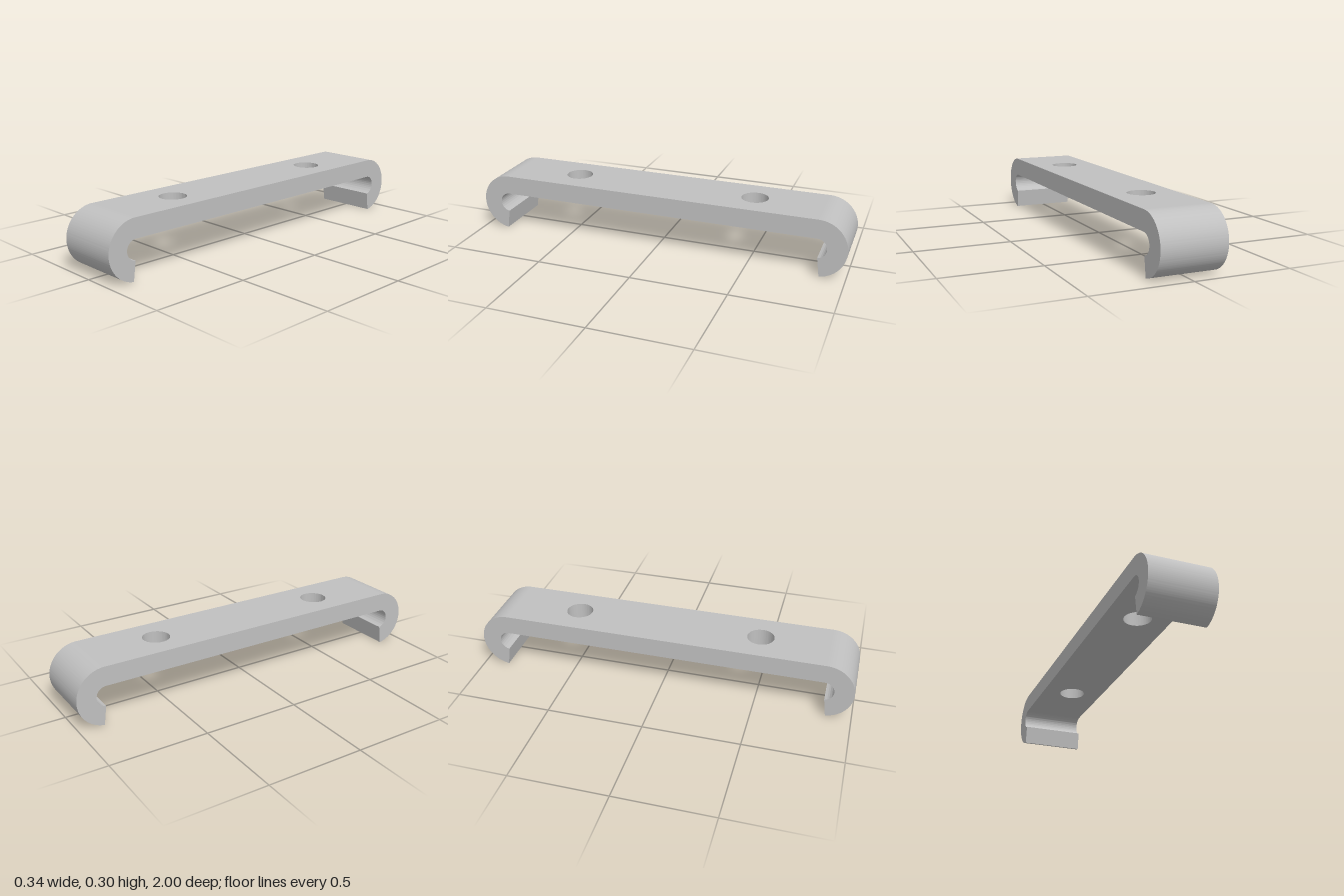
import * as THREE from 'three';
import { toCreasedNormals } from 'three/addons/utils/BufferGeometryUtils.js';

const WIDTH = 0.338;
const OUTER = 0.152; // outer bend radius
const INNER = 0.052; // inner bend radius
const BEND_Y = 0.151; // height of the bend axis
const BEND_Z = 1 - OUTER; // distance of the bend axis from the middle
const TIP = THREE.MathUtils.degToRad(-82);

export function createModel() {
  const group = new THREE.Group();
  group.name = 'mountingClip';
  const metal = new THREE.MeshStandardMaterial({ color: 0xc0c0c0 });
  metal.name = 'light grey metal';

  const add = (name, geometry) => {
    const mesh = new THREE.Mesh(toCreasedNormals(geometry, 0.4), metal);
    mesh.name = name;
    group.add(mesh);
  };

  // Flat bar with two round screw holes
  const bar = new THREE.Shape([
    new THREE.Vector2(-WIDTH / 2, -BEND_Z),
    new THREE.Vector2(WIDTH / 2, -BEND_Z),
    new THREE.Vector2(WIDTH / 2, BEND_Z),
    new THREE.Vector2(-WIDTH / 2, BEND_Z),
  ]);
  for (const z of [-0.493, 0.493]) {
    bar.holes.push(new THREE.Path().absarc(0, z, 0.07, 0, Math.PI * 2, true));
  }
  const barGeometry = new THREE.ExtrudeGeometry(bar, {
    depth: OUTER - INNER, bevelEnabled: false, curveSegments: 48,
  });
  barGeometry.rotateX(-Math.PI / 2).translate(0, BEND_Y + INNER, 0);
  add('bar', barGeometry);

  // Curled hooks: a ring section swept across the width, one at each end
  const curl = new THREE.Shape();
  curl.absarc(BEND_Z, BEND_Y, OUTER, TIP, Math.PI / 2, false);
  curl.absarc(BEND_Z, BEND_Y, INNER, Math.PI / 2, TIP, true);
  for (const [name, turn] of [['frontHook', -1], ['backHook', 1]]) {
    const hook = new THREE.ExtrudeGeometry(curl, {
      depth: WIDTH, bevelEnabled: false, curveSegments: 48,
    });
    hook.translate(0, 0, -WIDTH / 2).rotateY(turn * Math.PI / 2);
    add(name, hook);
  }
  return group;
}
